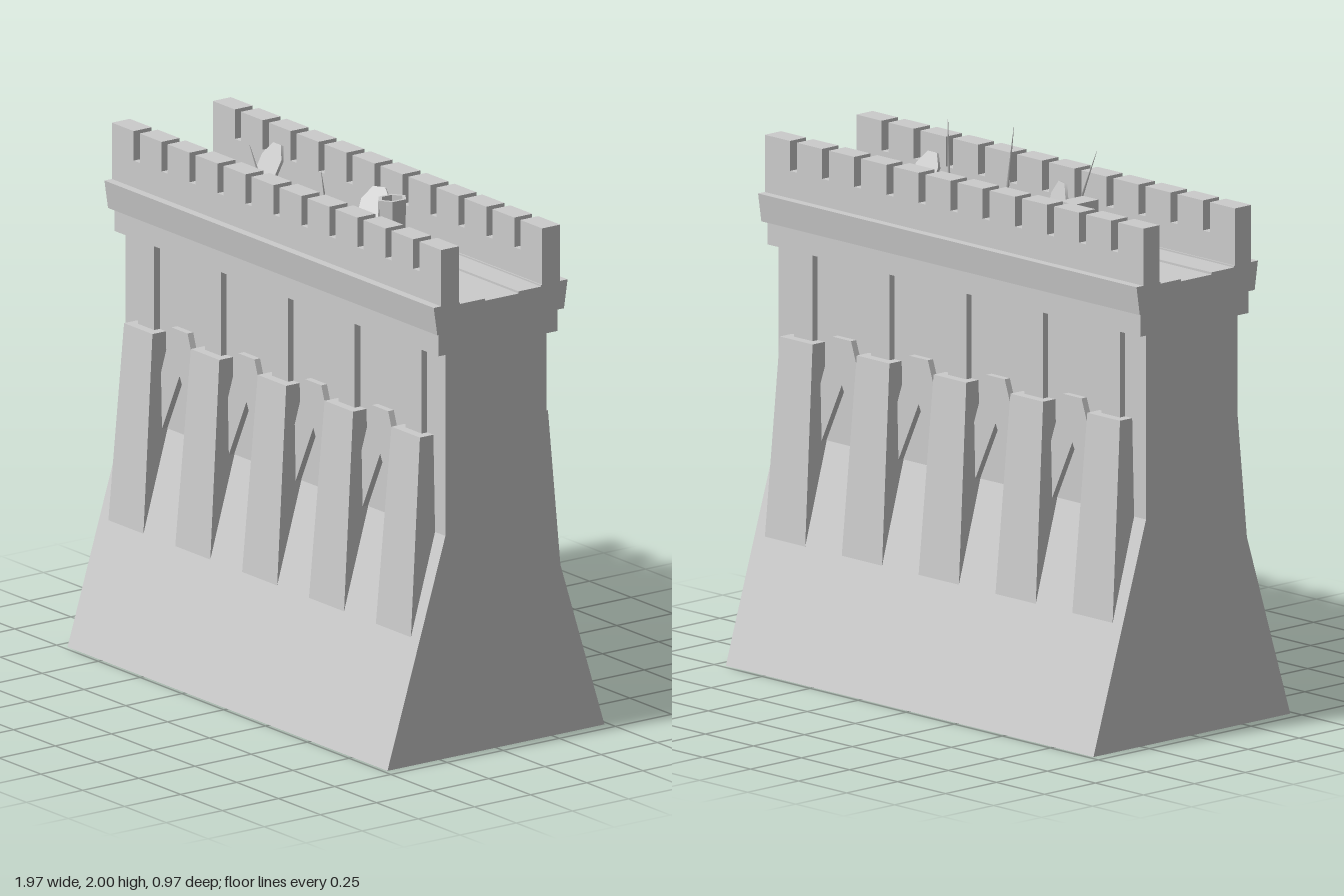
import * as THREE from 'three';

export function createModel() {
  const root = new THREE.Group();
  const stone = new THREE.MeshStandardMaterial({ color: 0xcccccc });
  stone.name = 'stone';

  const add = (name, geometry, parent = root) => {
    const mesh = new THREE.Mesh(geometry, stone);
    mesh.name = name;
    parent.add(mesh);
    return mesh;
  };
  const group = (name, parent = root) => {
    const g = new THREE.Group();
    g.name = name;
    parent.add(g);
    return g;
  };
  // Box given by its limits on each axis
  const block = (x0, x1, y0, y1, z0, z1) =>
    new THREE.BoxGeometry(x1 - x0, y1 - y0, z1 - z0)
      .translate((x0 + x1) / 2, (y0 + y1) / 2, (z0 + z1) / 2);
  const shapeOf = pts => new THREE.Shape(pts.map(p => new THREE.Vector2(...p)));
  // Profile of [z, y] points run along the length of the wall
  const along = (pts, halfLength) => {
    const g = new THREE.ExtrudeGeometry(shapeOf(pts.map(([z, y]) => [-z, y])),
      { depth: 2 * halfLength, bevelEnabled: false });
    return g.translate(0, 0, -halfLength).rotateY(Math.PI / 2);
  };

  // Wall with a battered foot, and the ledge and cornice above it
  add('wallBody', along([[-0.483, 0], [0.483, 0], [0.225, 0.83], [0.225, 1.52],
    [-0.225, 1.52], [-0.225, 0.83]], 0.957));
  add('ledge', block(-0.97, 0.97, 1.51, 1.6, -0.265, 0.265));
  add('cornice', along([[-0.282, 1.595], [0.282, 1.595], [0.298, 1.7], [0.18, 1.7],
    [0.18, 1.686], [-0.18, 1.686], [-0.18, 1.7], [-0.298, 1.7]], 0.985));

  // Tapered buttress whose foot runs into the sloping wall
  const buttressGeometry = block(-1, 1, 0.4, 1.19, 0, 1);
  const pos = buttressGeometry.attributes.position;
  for (let i = 0; i < pos.count; i++) {
    const top = pos.getY(i) > 1;
    pos.setX(i, pos.getX(i) * (top ? 0.085 : 0.1066));
    pos.setZ(i, pos.getZ(i) < 0.5 ? 0.2 : top ? 0.285 : 0.3445);
  }
  buttressGeometry.computeVertexNormals();
  const pilasterGeometry = block(-0.048, 0.048, 1.15, 1.52, 0.2, 0.25);

  // Pointed blind arch
  const archGeometry = new THREE.ExtrudeGeometry(shapeOf([
    [-0.13, 0.78], [0, 1.055], [0.13, 0.78], [0.13, 0.98], [0.122, 1.01], [0.048, 1.225],
    [-0.048, 1.225], [-0.122, 1.01], [-0.13, 0.98]]), { depth: 0.05, bevelEnabled: false });
  archGeometry.translate(0, 0, 0.2);

  // Both long faces carry the same dressing
  for (const side of ['front', 'back']) {
    const face = group(side + 'Face');
    if (side === 'back') face.rotation.y = Math.PI;
    for (let i = -2; i <= 2; i++) {
      add('buttress', buttressGeometry, face).position.x = i * 0.4;
      add('pilaster', pilasterGeometry, face).position.x = i * 0.4;
      if (i < 2) add('arch', archGeometry, face).position.x = i * 0.4 + 0.2;
    }
    add('parapet', block(-0.985, 0.985, 1.68, 1.8, 0.185, 0.265), face);
    for (let i = 0; i < 12; i++) {
      const x = -0.985 + i * 0.1672;
      add('merlon', block(x, x + 0.131, 1.8, 1.91, 0.185, 0.265), face);
    }
  }

  // Raised walkway margins with broken edges, points are [x, z]
  const margin = (name, pts) => add(name, new THREE.ExtrudeGeometry(
    shapeOf(pts.map(([x, z]) => [x, -z])), { depth: 0.012, bevelEnabled: false })
    .rotateX(-Math.PI / 2).translate(0, 1.682, 0));
  margin('frontWalkwayEdge', [[-0.985, 0.19], [0.985, 0.19], [0.985, 0.07], [0.51, 0.07],
    [0.48, 0.13], [0.33, 0.075], [-0.37, 0.07], [-0.57, 0.12], [-0.57, 0.07], [-0.985, 0.07]]);
  margin('backWalkwayEdge', [[-0.985, -0.19], [-0.985, -0.08], [-0.57, -0.08], [-0.4, -0.11],
    [-0.4, -0.08], [0.33, -0.08], [0.33, -0.125], [0.5, -0.08], [0.985, -0.08], [0.985, -0.19]]);

  // Shields leaning on the parapets: x, z, lean, turn
  const shieldGeometry = new THREE.CylinderGeometry(0.062, 0.062, 0.012, 8)
    .rotateY(Math.PI / 8).rotateX(Math.PI / 2).scale(1, 1.5, 1);
  for (const [x, z, lean, turn] of [[-0.575, -0.13, -0.5, 0], [0.08, -0.11, -0.6, 0.5],
    [0.56, 0.12, 0.5, 0], [-0.11, 0.14, 0.25, -0.3]]) {
    const shield = add('shield', shieldGeometry);
    shield.position.set(x, 1.775, z);
    shield.rotation.set(lean, turn, 0, 'YXZ');
  }

  // Crate and open hexagonal tub
  add('crate', block(-0.295, -0.215, 1.69, 1.825, 0.05, 0.165));
  const tub = add('tub', new THREE.LatheGeometry(
    [[0, 0], [0.052, 0], [0.055, 0.15], [0.041, 0.15], [0.039, 0.02], [0, 0.02]]
      .map(p => new THREE.Vector2(...p)), 6).toNonIndexed());
  tub.geometry.computeVertexNormals();
  tub.geometry.scale(0.9, 1, 1.08);
  tub.position.set(0.175, 1.69, -0.12);

  // Blades propped against the front parapet, from foot to tip
  for (const [foot, tip] of [
    [[-0.18, 1.7, 0.14], [-0.255, 1.99, 0.195]],
    [[0.175, 1.7, 0.15], [0.187, 2.0, 0.205]],
    [[0.46, 1.69, 0.145], [0.53, 1.97, 0.205]]]) {
    const a = new THREE.Vector3(...foot), b = new THREE.Vector3(...tip);
    const blade = add('blade', new THREE.CylinderGeometry(0.001, 0.011, a.distanceTo(b), 4)
      .scale(0.5, 1, 1));
    blade.position.copy(a).lerp(b, 0.5);
    blade.quaternion.setFromUnitVectors(new THREE.Vector3(0, 1, 0), b.sub(a).normalize());
  }
  return root;
}
